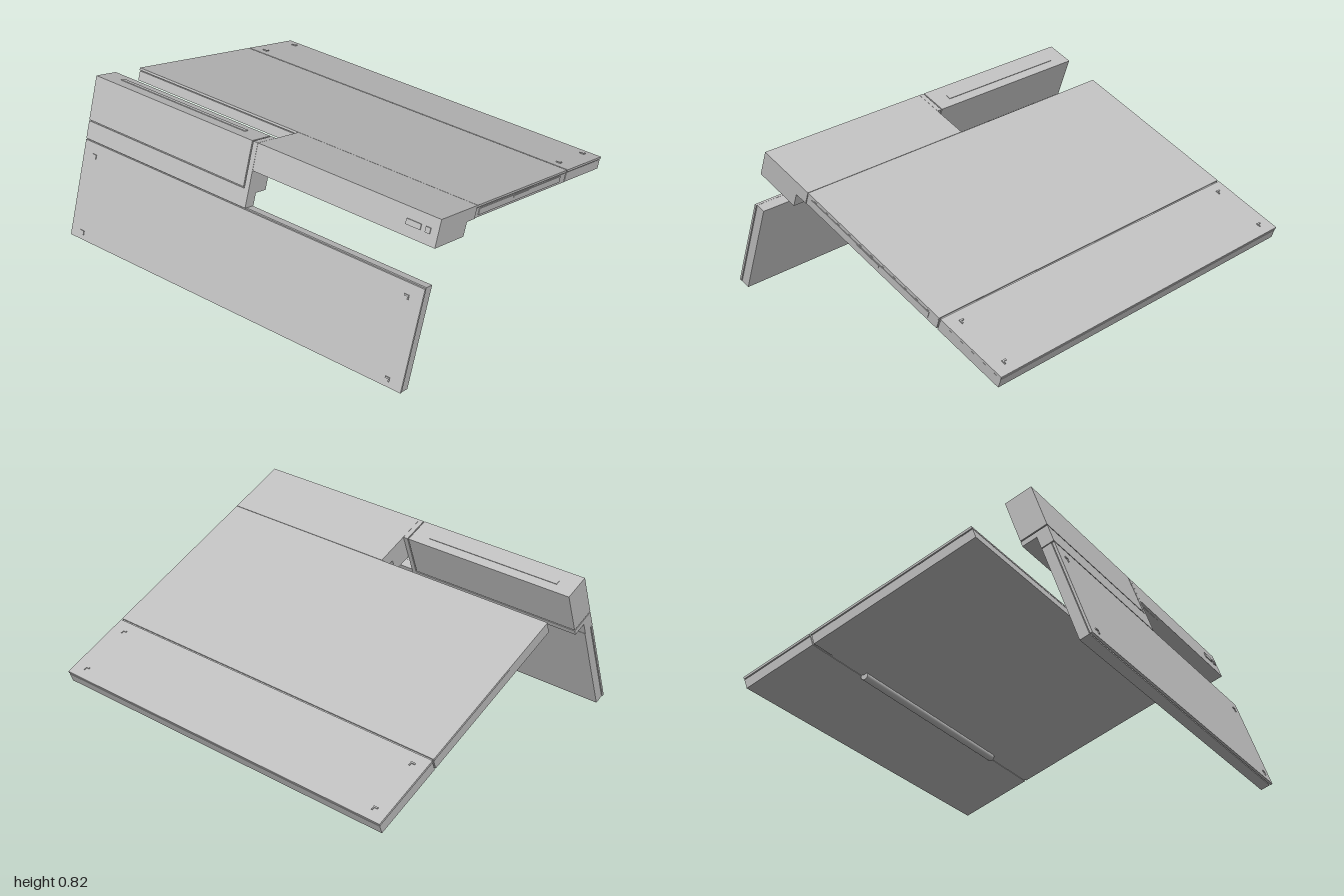
import * as THREE from 'three';

// Two-panel folding device standing like a tent.
// Working frame: e runs down the short leg panel, d runs along the long panel.
export function createModel() {
  const grey = new THREE.MeshStandardMaterial({ color: 0xc0c0c0 });
  grey.name = 'satin grey';

  const model = new THREE.Group();
  model.name = 'foldingDevice';
  const frame = new THREE.Group();
  frame.name = 'tiltedFrame';
  frame.rotation.x = -THREE.MathUtils.degToRad(20);
  frame.position.set(0, 0.82, 0.643);
  model.add(frame);

  const part = (name) => {
    const g = new THREE.Group();
    g.name = name;
    frame.add(g);
    return g;
  };
  const box = (g, name, [x0, x1], [e0, e1], [d0, d1]) => {
    const m = new THREE.Mesh(new THREE.BoxGeometry(x1 - x0, e1 - e0, d1 - d0), grey);
    m.name = name;
    m.position.set((x0 + x1) / 2, -(e0 + e1) / 2, -(d0 + d1) / 2);
    g.add(m);
    return m;
  };

  const T = 0.066;      // panel thickness
  const W = [-1, 1];
  const CORE = [-0.99, 0.99];
  const LEG = 0.849;    // leg length
  const LONG = 1.67;    // long panel length

  // Long panel: inner core with shells separated by fine grooves
  const long = part('longPanel');
  box(long, 'panelCore', CORE, [0.006, T - 0.004], [0.336, LONG - 0.01]);
  for (const [name, d] of [['main', [0.33, 1.262]], ['rear', [1.27, LONG]]]) {
    box(long, name + 'Skin', W, [0, 0.012], d);
    box(long, name + 'Body', [-0.997, 0.997], [0.016, T], d);
  }
  // Side tray with its small port
  box(long, 'sideTray', [0.99, 1], [0.022, 0.054], [0.36, 1.2]);
  box(long, 'sidePort', [0.995, 1.002], [0.025, 0.038], [0.695, 0.855]);
  // Thick block on the left half
  box(long, 'hingeBlock', [0, 1], [0, 0.138], [0, 0.258]);
  box(long, 'blockBridge', [0, 1], [0, T], [0.258, 0.328]);
  box(long, 'latchStrip', [0.01, 0.22], [0.138, 0.142], [0.012, 0.028]);
  // Sockets on the front of the block
  box(long, 'wideSocket', [0.835, 0.912], [0.055, 0.083], [-0.005, 0]);
  box(long, 'squareSocket', [0.936, 0.961], [0.055, 0.083], [-0.005, 0]);
  // Round bar under the rear seam
  const bar = new THREE.Mesh(new THREE.CylinderGeometry(0.02, 0.02, 1.2, 24), grey);
  bar.name = 'hingeBar';
  bar.rotation.z = Math.PI / 2;
  bar.position.set(0, -0.073, -1.257);
  long.add(bar);

  // Leg panel: skin on the front, body behind
  const leg = part('legPanel');
  box(leg, 'legCore', CORE, [0.336, LEG - 0.01], [0.006, T - 0.004]);
  box(leg, 'legSkin', W, [0.334, LEG], [0, 0.012]);
  box(leg, 'legBody', [-0.997, 0.997], [0.33, LEG], [0.016, T]);
  // Thick block on the right half, with a cover, a hinge cap and a lower rim
  box(leg, 'blockCore', [-0.99, -0.004], [0.006, 0.256], [0.006, 0.137]);
  box(leg, 'blockCover', [-1, -0.033], [0, 0.23], [0, 0.143]);
  box(leg, 'hingeCap', [-0.027, -0.001], [0, 0.262], [0, 0.143]);
  box(leg, 'blockRim', [-1, -0.027], [0.236, 0.262], [0, 0.143]);
  box(leg, 'legBridge', [-1, -0.001], [0.262, 0.328], [0, T]);
  box(leg, 'topStrip', [-0.9, -0.13], [-0.003, 0], [0.07, 0.096]);

  // Small corner pads on both outer faces
  const pads = part('cornerPads');
  for (const x of [-0.93, 0.92]) {
    for (const s of [0.39, 0.8]) {
      box(pads, 'legPad', [x - 0.012, x + 0.012], [s, s + 0.008], [-0.005, 0]);
      box(pads, 'legPadEnd', [x + 0.006, x + 0.012], [s, s + 0.022], [-0.005, 0]);
    }
    for (const s of [1.32, 1.6]) {
      box(pads, 'panelPad', [x - 0.012, x + 0.012], [-0.005, 0], [s, s + 0.008]);
      box(pads, 'panelPadEnd', [x + 0.006, x + 0.012], [-0.005, 0], [s, s + 0.022]);
    }
  }
  return model;
}
